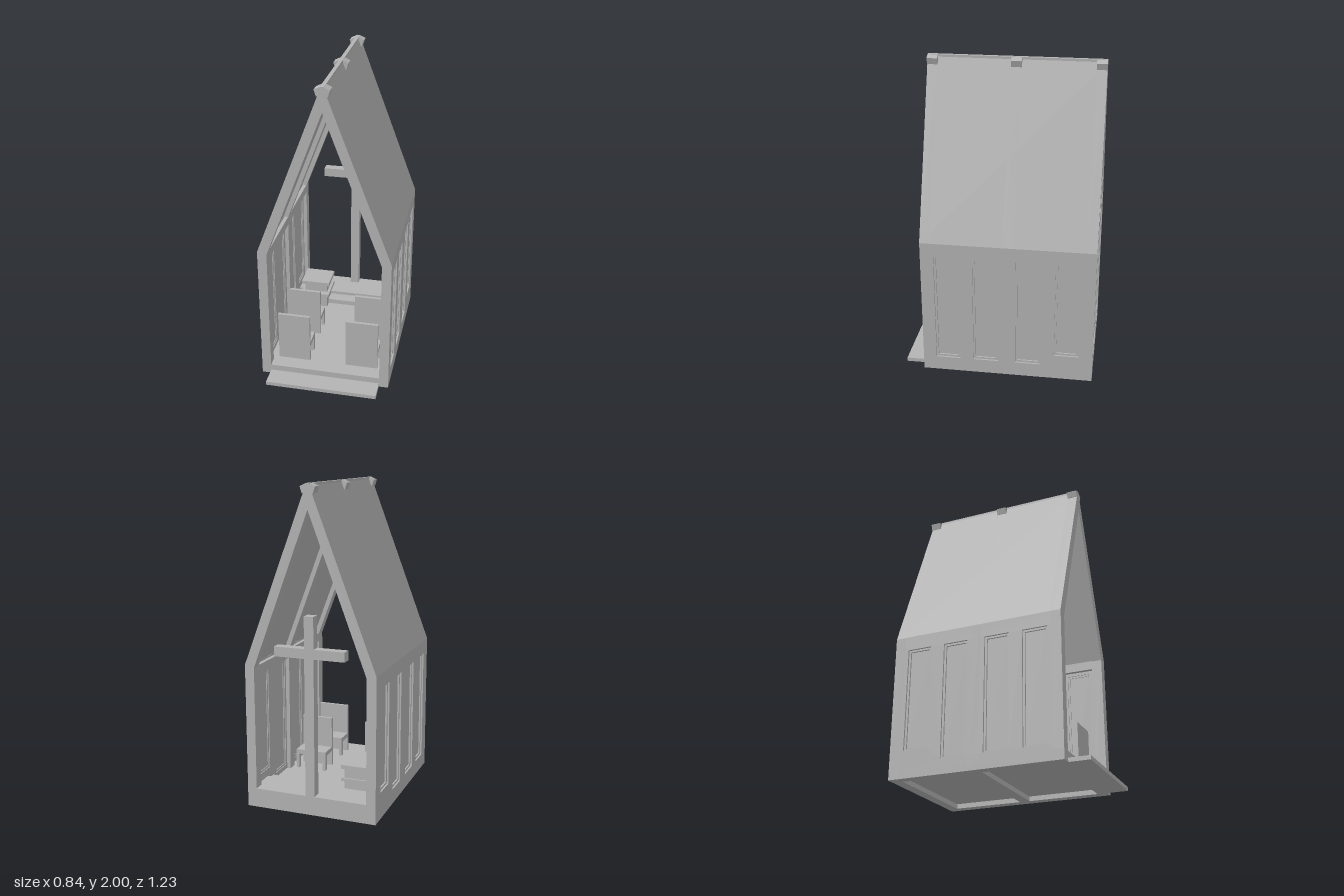
import * as THREE from 'three';

export function createModel() {
  const root = new THREE.Group();
  root.name = 'chapel';
  const grey = new THREE.MeshStandardMaterial({ color: 0xb4b4b4 });
  grey.name = 'plain grey';

  const FRONT = 0.485, BACK = -0.615, LENGTH = FRONT - BACK;

  const add = (geometry, name, parent = root) => {
    const mesh = new THREE.Mesh(geometry, grey);
    mesh.name = name;
    parent.add(mesh);
    return mesh;
  };
  // box given by its limits on each axis
  const box = (name, x0, x1, y0, y1, z0, z1, parent) => {
    const g = new THREE.BoxGeometry(x1 - x0, y1 - y0, z1 - z0);
    g.translate((x0 + x1) / 2, (y0 + y1) / 2, (z0 + z1) / 2);
    return add(g, name, parent);
  };
  const outline = (pts) => pts.map(([x, y]) => new THREE.Vector2(x, y));
  const rect = (a0, a1, b0, b1) => outline([[a0, b0], [a1, b0], [a1, b1], [a0, b1]]);
  const extrude = (pts, holes, depth) => {
    const shape = new THREE.Shape(pts);
    holes.forEach((h) => shape.holes.push(new THREE.Path(h)));
    return new THREE.ExtrudeGeometry(shape, { depth, bevelEnabled: false });
  };

  // base ring, floor set inside it, and front step
  const ring = extrude(rect(-0.42, 0.42, BACK, FRONT), [rect(-0.36, 0.36, BACK + 0.065, FRONT - 0.065)], 0.065);
  ring.rotateX(Math.PI / 2);
  ring.scale(1, 1, 1);
  ring.translate(0, 0.065, 0);
  add(ring, 'baseRing');
  box('floor', -0.36, 0.36, 0.03, 0.065, BACK + 0.065, FRONT - 0.065);
  box('frontStep', -0.36, 0.36, 0, 0.025, FRONT, 0.615);

  // raised platform with two levels
  box('platformLower', -0.39, 0.39, 0.065, 0.098, BACK, -0.32);
  box('platformUpper', -0.39, 0.39, 0.098, 0.12, BACK, -0.4);

  // three gabled frames
  const gable = outline([[-0.42, 0], [0.42, 0], [0.42, 0.91], [0.012, 1.985], [-0.012, 1.985], [-0.42, 0.91]]);
  const opening = outline([[-0.36, 0.065], [0.36, 0.065], [0.36, 0.895], [0, 1.85], [-0.36, 0.895]]);
  [[FRONT - 0.065, 'frontFrame'], [-0.1, 'middleFrame'], [BACK, 'backFrame']].forEach(([z, name]) => {
    const g = extrude(gable, [opening], 0.065);
    g.translate(0, 0, z);
    add(g, name);
  });

  // thin roof skin and ridge strip
  const roof = extrude(outline([
    [0.42, 0.91], [0.012, 1.985], [-0.012, 1.985], [-0.42, 0.91],
    [-0.39, 0.9], [0, 1.93], [0.39, 0.9],
  ]), [], LENGTH);
  roof.translate(0, 0, BACK);
  add(roof, 'roof');
  box('ridge', -0.012, 0.012, 1.95, 2, BACK, FRONT);

  // windows as [z0, z1, y0, y1]; the rearmost one is shorter
  const windows = [
    [0.24, 0.4, 0.095, 0.82],
    [-0.005, 0.155, 0.095, 0.82],
    [-0.278, -0.118, 0.095, 0.82],
    [-0.525, -0.367, 0.17, 0.82],
  ];
  // turns a (z, y) profile into a plate starting at x0
  const sidePlate = (pts, holes, x0, thick) => {
    const g = extrude(pts, holes, thick);
    g.rotateY(-Math.PI / 2);
    g.translate(x0 + thick, 0, 0);
    return g;
  };
  for (const s of [1, -1]) {
    const side = s > 0 ? 'left' : 'right';
    const plate = (pts, holes, inner, outer, name) =>
      add(sidePlate(pts, holes, s > 0 ? inner : -outer, outer - inner), name);

    plate(rect(BACK, FRONT, 0, 0.91), windows.map((w) => rect(...w)), 0.385, 0.42, side + 'Wall');
    windows.forEach(([z0, z1, y0, y1]) => {
      const t = 0.013;
      const inner = rect(z0 + t, z1 - t, y0 + t, y1 - t);
      plate(rect(z0, z1, y0, y1), [inner], 0.39, 0.409, side + 'WindowTrim');
      plate(inner, [], 0.395, 0.399, side + 'WindowPane');
    });
    // eaves rail along the inside
    const [a, b] = s > 0 ? [0.36, 0.4] : [-0.4, -0.36];
    box(side + 'EavesRail', a, b, 0.84, 0.898, BACK, FRONT);

    // ridge clips
    [FRONT - 0.065, -0.1, BACK].forEach((z) => {
      const pts = [[0.01, 1.95], [0.034, 1.942], [0.047, 1.982], [0.012, 1.998]];
      const g = extrude(outline(pts.map(([x, y]) => [s * x, y])), [], 0.065);
      g.translate(0, 0, z);
      add(g, side + 'RidgeClip');
    });

    // chairs facing the cross
    [0.385, 0.075].forEach((z) => {
      const chair = new THREE.Group();
      chair.name = side + 'Chair';
      chair.position.set(s * 0.225, 0.065, z);
      root.add(chair);
      box('chairBack', -0.105, 0.105, 0, 0.335, -0.02, 0, chair);
      box('chairSeat', -0.105, 0.105, 0.1, 0.13, -0.14, -0.02, chair);
      for (const k of [-1, 1]) {
        box('chairLeg', k * 0.095 - 0.01, k * 0.095 + 0.01, 0, 0.1, -0.14, -0.11, chair);
      }
    });
  }

  // low side table with a shelf
  box('tableTop', -0.33, -0.13, 0.25, 0.275, -0.43, -0.25);
  box('tableShelf', -0.33, -0.13, 0.17, 0.19, -0.43, -0.23);
  box('tableBody', -0.31, -0.15, 0.065, 0.25, -0.42, -0.27);

  // cross at the open back
  const cross = new THREE.Group();
  cross.name = 'cross';
  root.add(cross);
  box('crossPost', -0.03, 0.03, 0.12, 1.235, BACK, BACK + 0.06, cross);
  box('crossArm', -0.225, 0.225, 0.98, 1.04, BACK, BACK + 0.06, cross);
  box('backSill', -0.36, 0.36, 0.065, 0.12, BACK, BACK + 0.065);

  return root;
}
